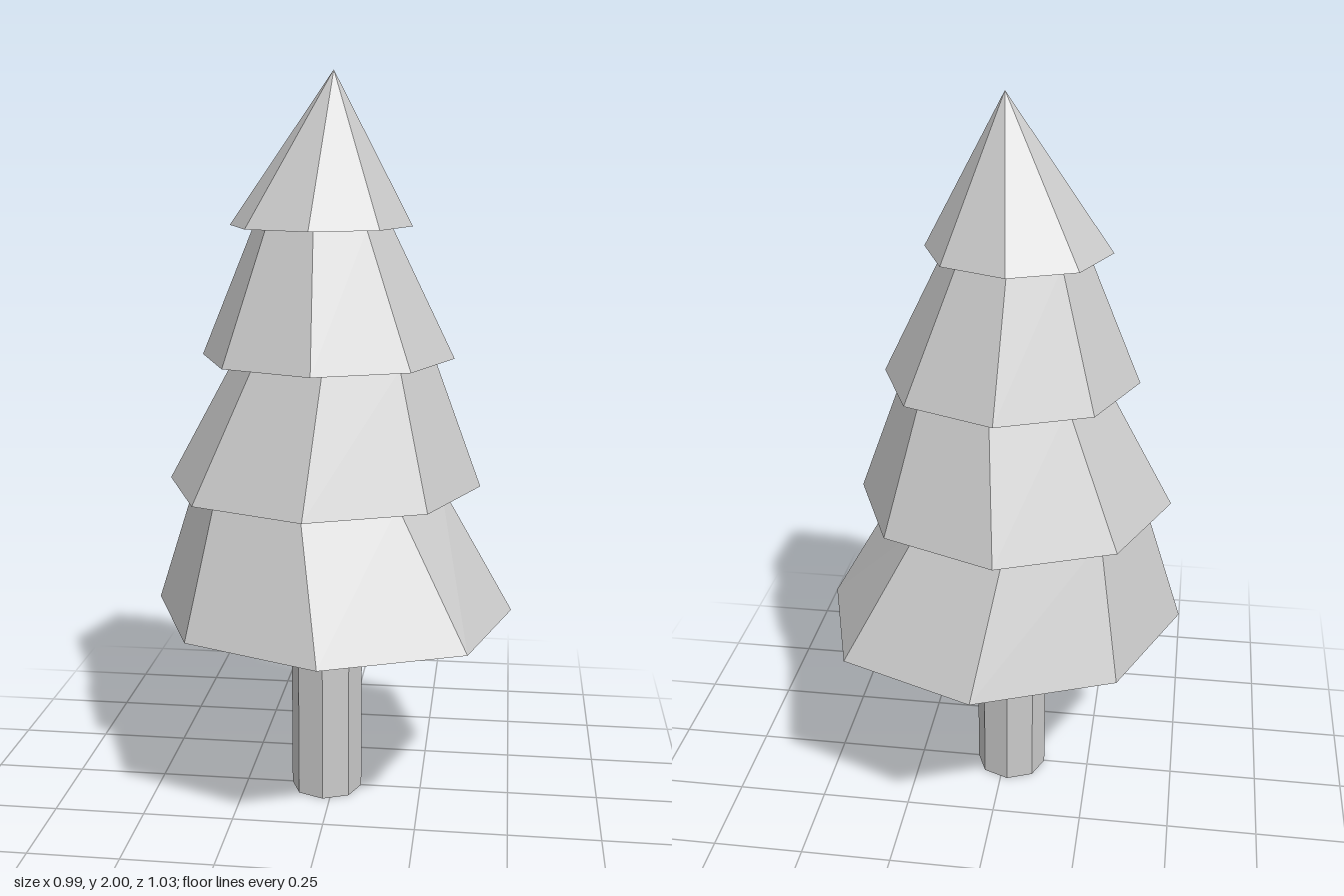
import * as THREE from 'three';

const SIDES = 8;

// Octagonal ring; tipShift moves only the +x corner.
function ring(y, cx, r, tipShift = 0) {
  return Array.from({ length: SIDES }, (_, i) => {
    const a = (i / SIDES) * Math.PI * 2;
    return [cx + r * Math.cos(a) + (i === 0 ? tipShift : 0), y, r * Math.sin(a)];
  });
}

// Joins successive rings with faceted, outward-facing quads.
function loft(rings) {
  const pos = [];
  for (let k = 0; k < rings.length - 1; k++) {
    const lo = rings[k], up = rings[k + 1];
    for (let i = 0; i < SIDES; i++) {
      const j = (i + 1) % SIDES;
      pos.push(...lo[j], ...lo[i], ...up[i]);
      if (up[i][0] !== up[j][0] || up[i][2] !== up[j][2]) pos.push(...lo[j], ...up[i], ...up[j]);
    }
  }
  const geo = new THREE.BufferGeometry();
  geo.setAttribute('position', new THREE.Float32BufferAttribute(pos, 3));
  geo.computeVertexNormals();
  return geo;
}

export function createModel() {
  const tree = new THREE.Group();
  tree.name = 'pineTree';
  const material = new THREE.MeshStandardMaterial({
    color: 0xcccccc, flatShading: true, side: THREE.DoubleSide,
  });

  // Trunk: open octagonal tube
  const trunk = new THREE.Mesh(new THREE.CylinderGeometry(0.1, 0.1, 0.55, SIDES, 1, true), material);
  trunk.name = 'trunk';
  trunk.position.set(-0.02, 0.275, 0);
  tree.add(trunk);

  // Branch tiers: rim and top rings, each leaning off centre a little
  const tiers = [
    { rim: ring(0.55, 0.02, 0.517, -0.042), top: ring(0.9, -0.045, 0.34) },
    { rim: ring(0.9, -0.028, 0.43), top: ring(1.25, 0.003, 0.27) },
    { rim: ring(1.25, -0.017, 0.343), top: ring(1.6, -0.03, 0.185) },
    { rim: ring(1.6, -0.035, 0.245), top: ring(2, 0, 0) },
  ];
  let inner = ring(0.55, -0.02, 0.1);
  tiers.forEach(({ rim, top }, n) => {
    // Underside runs from the part below out to the rim, then the slope rises
    const tier = new THREE.Mesh(loft([inner, rim, top]), material);
    tier.name = `branchTier${n + 1}`;
    tree.add(tier);
    inner = top;
  });

  return tree;
}
